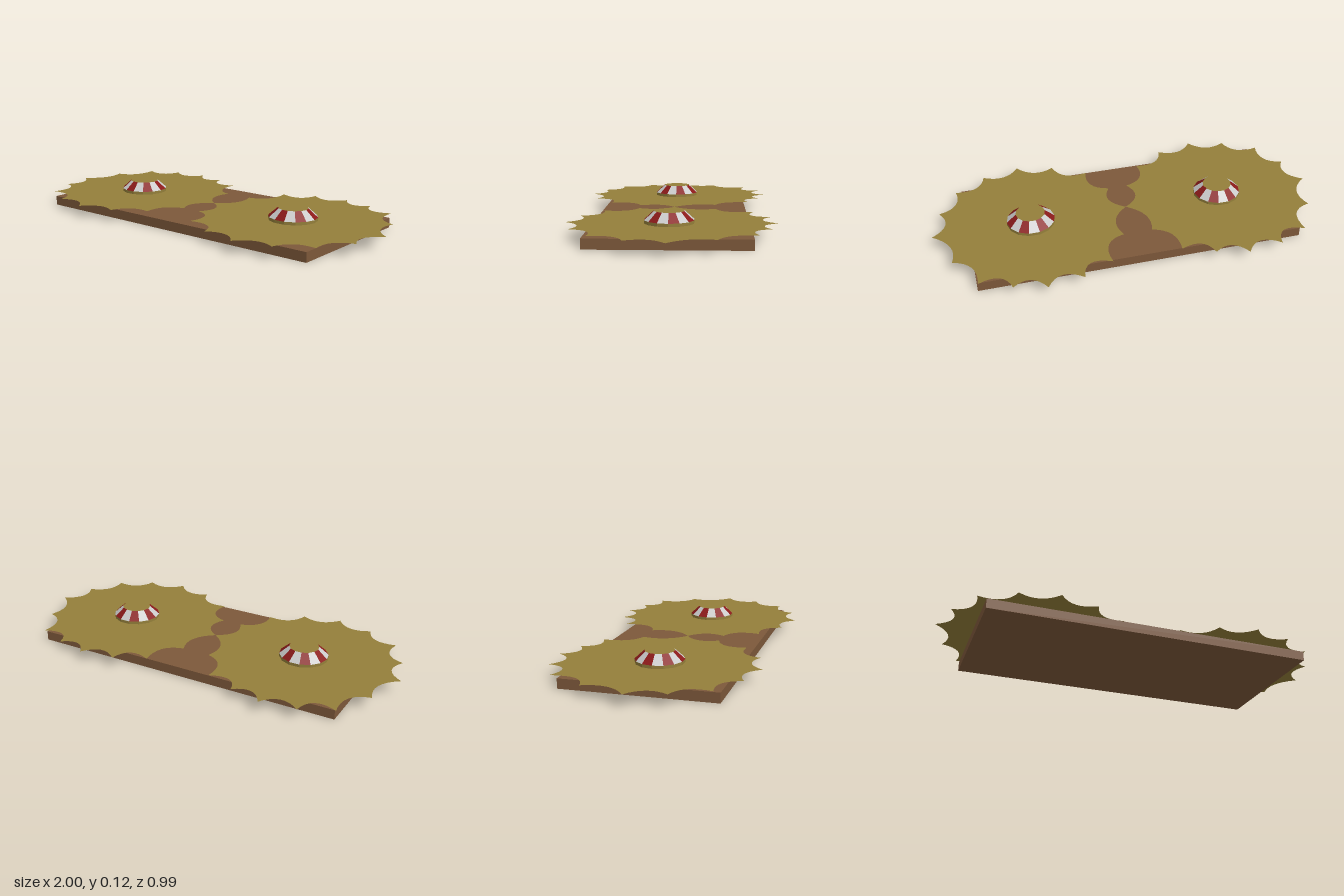
import * as THREE from 'three';

const paint = (color, extra = {}) =>
  Object.assign(new THREE.MeshStandardMaterial({ color, flatShading: true }), extra);

const wood = paint(0x7d583a);
const gold = paint(0x947f3a, { side: THREE.DoubleSide });
const red = paint(0x8b1a1a, { side: THREE.DoubleSide });
const white = paint(0xcccccc, { side: THREE.DoubleSide });

// Tooth tips (x, z) round the sheet, slightly uneven as if cut by hand
const TIPS = [
  [0.5, 0], [0.45, 0.18], [0.35, 0.345], [0.19, 0.445],
  [0, 0.49], [-0.19, 0.445], [-0.36, 0.35], [-0.45, 0.18],
  [-0.5, 0], [-0.435, -0.215], [-0.335, -0.4], [-0.18, -0.475],
  [0, -0.5], [0.16, -0.46], [0.315, -0.395], [0.42, -0.215],
];
const SIDES = 14;

function mesh(name, geometry, material, y = 0) {
  const m = new THREE.Mesh(geometry, material);
  m.name = name;
  m.position.y = y;
  return m;
}

// Flat sheet whose teeth are joined by concave scallops
function scallopedSheet() {
  const shape = new THREE.Shape();
  shape.moveTo(TIPS[0][0], -TIPS[0][1]);
  TIPS.forEach(([x, z], i) => {
    const [nx, nz] = TIPS[(i + 1) % TIPS.length];
    const mx = (x + nx) / 2, mz = (z + nz) / 2;
    const k = 0.385 / Math.hypot(mx, mz);
    shape.quadraticCurveTo(mx * k, -mz * k, nx, -nz);
  });
  return new THREE.ShapeGeometry(shape, 8).rotateX(-Math.PI / 2);
}

// Low bumper: gold rim, striped sloping side, gold top
function bumper() {
  const g = new THREE.Group();
  g.name = 'bumper';
  const step = (Math.PI * 2) / SIDES;
  const start = -step / 2;
  g.add(mesh('bumperRim',
    new THREE.CylinderGeometry(0.123, 0.123, 0.015, SIDES, 1, true, start), gold, 0.0075));
  for (let i = 0; i < SIDES; i++) {
    const stripe = new THREE.CylinderGeometry(0.075, 0.123, 0.042, 1, 1, true, start + i * step, step);
    g.add(mesh('bumperStripe', stripe, i % 2 ? white : red, 0.036));
  }
  g.add(mesh('bumperTop',
    new THREE.CircleGeometry(0.075, SIDES).rotateX(-Math.PI / 2), gold, 0.057));
  g.scale.z = 0.96;
  g.position.z = 0.005;
  return g;
}

export function createModel() {
  const model = new THREE.Group();
  model.name = 'bumperBoard';

  model.add(mesh('board', new THREE.BoxGeometry(1.64, 0.048, 0.744), wood, 0.024));

  // Two identical toothed sheets, touching at the middle
  for (const x of [-0.5, 0.5]) {
    const unit = new THREE.Group();
    unit.name = x > 0 ? 'leftUnit' : 'rightUnit';
    unit.position.set(x, 0.065, 0);
    unit.add(mesh('scallopedSheet', scallopedSheet(), gold), bumper());
    model.add(unit);
  }
  return model;
}
